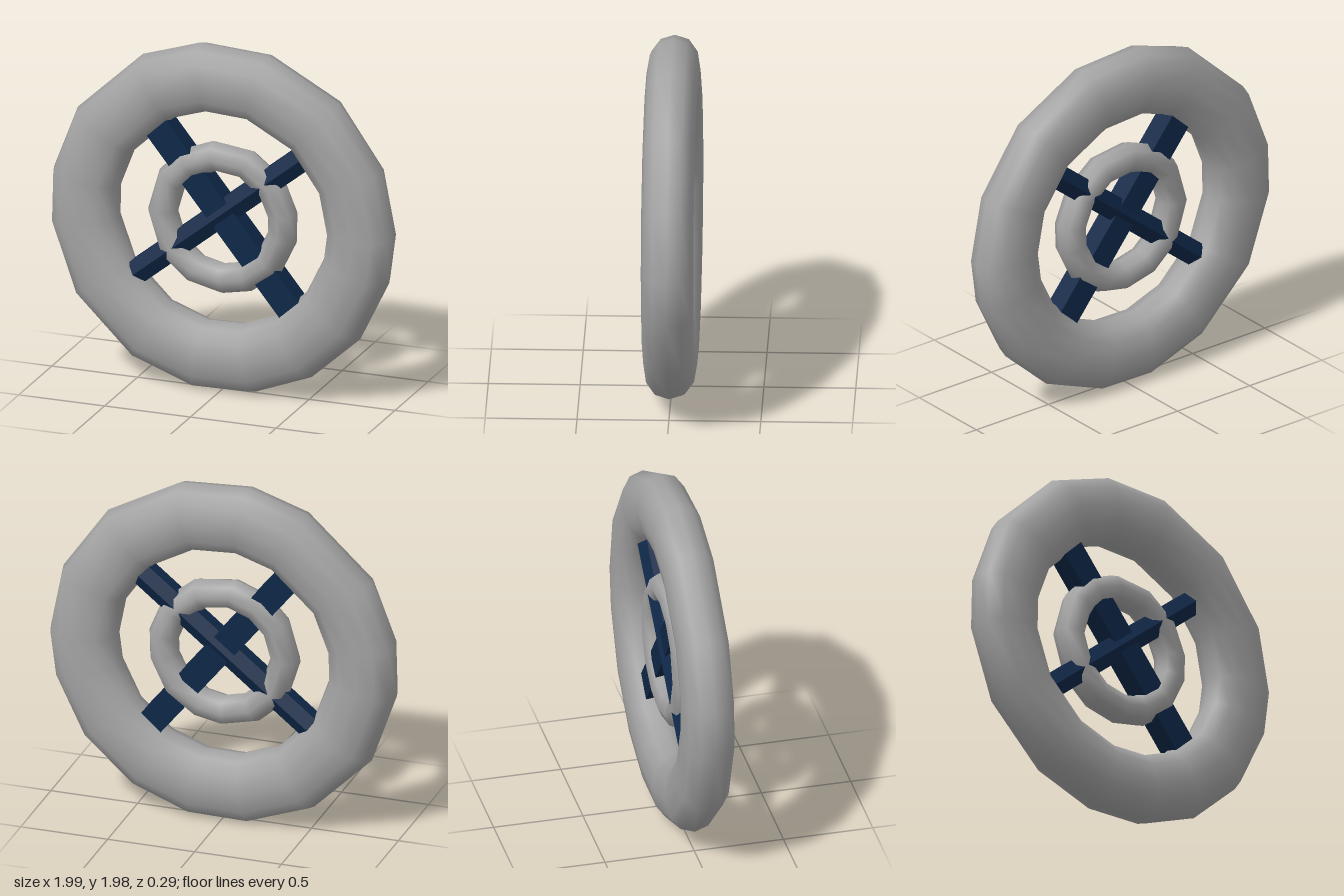
import * as THREE from 'three';

const CENTRE_Y = 1;

// Closed ring with hand-carved, uneven corners: angles in degrees, rounded section
function ringGeometry(angles, inner, outer, halfDepth, sides, squareness) {
  const mid = (inner + outer) / 2, half = (outer - inner) / 2;
  const bulge = (v) => Math.sign(v) * Math.abs(v) ** squareness;
  const positions = [], index = [], n = angles.length;
  angles.forEach((degrees, i) => {
    const a = THREE.MathUtils.degToRad(degrees);
    for (let j = 0; j < sides; j++) {
      const t = (j / sides) * Math.PI * 2;
      const r = mid + half * bulge(Math.cos(t));
      positions.push(r * Math.cos(a), r * Math.sin(a), halfDepth * bulge(Math.sin(t)));
      const i2 = (i + 1) % n, j2 = (j + 1) % sides;
      const p = i * sides + j, q = i2 * sides + j, s = i2 * sides + j2, u = i * sides + j2;
      index.push(p, q, s, p, s, u);
    }
  });
  const geometry = new THREE.BufferGeometry();
  geometry.setAttribute('position', new THREE.Float32BufferAttribute(positions, 3));
  geometry.setIndex(index);
  geometry.computeVertexNormals();
  return geometry;
}

export function createModel() {
  const grey = new THREE.MeshStandardMaterial({ color: 0xa3a3a3 });
  grey.name = 'stoneGrey';
  const navy = new THREE.MeshStandardMaterial({ color: 0x0e2747, flatShading: true });
  navy.name = 'navyBlue';

  const model = new THREE.Group();
  model.name = 'spokedWheel';
  const add = (name, geometry, material) => {
    const mesh = new THREE.Mesh(geometry, material);
    mesh.name = name;
    mesh.position.y = CENTRE_Y;
    model.add(mesh);
    return mesh;
  };

  // Thick outer rim
  const rimAngles = [0, 22, 48, 75, 98, 118, 148, 170, 187, 212, 239, 261, 281, 301, 323, 345];
  add('outerRim', ringGeometry(rimAngles, 0.61, 1, 0.143, 12, 0.9), grey);

  // Thin inner ring
  const ringAngles = [9, 36, 67, 98, 124, 148, 180, 215, 243, 270, 292, 320, 348];
  add('innerRing', ringGeometry(ringAngles, 0.265, 0.437, 0.085, 8, 1), grey);

  // Two crossed bars: one six-sided, one square
  const ridged = new THREE.CylinderGeometry(0.078, 0.078, 1.32, 6);
  ridged.rotateZ(-Math.PI / 2);
  const ridgedBar = add('ridgedSpoke', ridged, navy);
  ridgedBar.rotation.z = THREE.MathUtils.degToRad(38.8);
  ridgedBar.position.set(-0.01, CENTRE_Y + 0.02, 0);

  const flatBar = add('flatSpoke', new THREE.BoxGeometry(1.32, 0.15, 0.12), navy);
  flatBar.rotation.z = THREE.MathUtils.degToRad(-51);
  flatBar.position.set(0.01, CENTRE_Y + 0.02, 0);

  return model;
}
